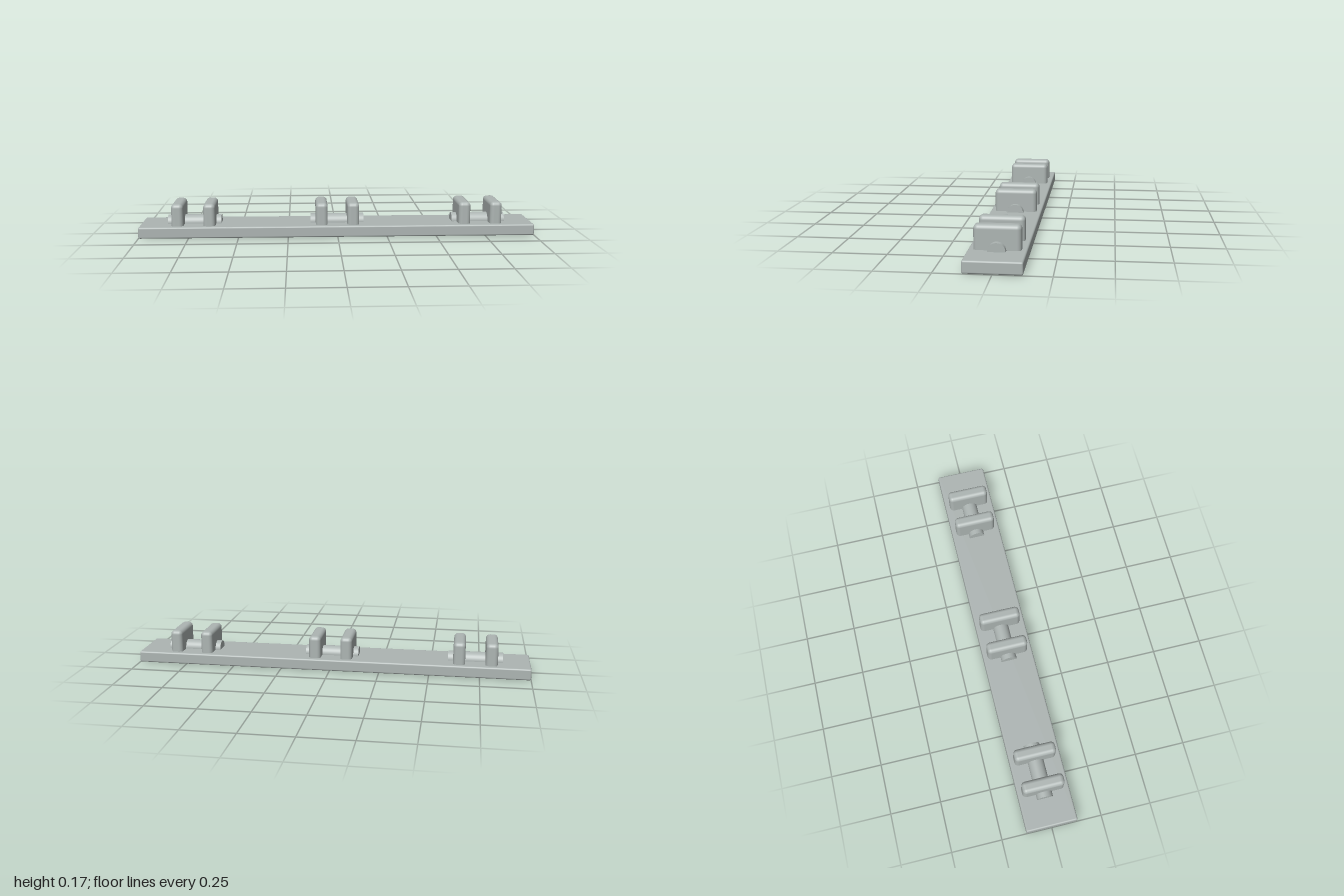
import * as THREE from 'three';
import { RoundedBoxGeometry } from 'three/addons/geometries/RoundedBoxGeometry.js';

export function createModel() {
  const model = new THREE.Group();
  model.name = 'hookRail';
  const grey = new THREE.MeshStandardMaterial({ color: 0xadb5b3 });
  grey.name = 'paleGrey';

  const add = (parent, name, geometry, x, y) => {
    const mesh = new THREE.Mesh(geometry, grey);
    mesh.name = name;
    mesh.position.set(x, y, 0);
    parent.add(mesh);
    return mesh;
  };

  // Long base board with softly rounded edges
  const top = 0.057;
  add(model, 'baseBoard', new RoundedBoxGeometry(2, top, 0.256, 3, 0.008), 0, top / 2);

  // Upright cheeks run down into the board
  const low = 0.015, high = 0.168;
  const cheek = new RoundedBoxGeometry(0.06, high - low, 0.208, 4, 0.02);

  // Round pin lying half sunk in the board
  const pin = new THREE.CylinderGeometry(0.04, 0.04, 0.272, 40);
  pin.rotateZ(Math.PI / 2);

  // Three brackets, each with two cheeks and a pin through both
  for (const x of [-0.727, 0, 0.727]) {
    const bracket = new THREE.Group();
    bracket.name = 'bracket';
    bracket.position.x = x;
    for (const side of [-1, 1]) {
      add(bracket, side > 0 ? 'leftCheek' : 'rightCheek', cheek, side * 0.08, (low + high) / 2);
    }
    add(bracket, 'pin', pin, 0, top);
    model.add(bracket);
  }
  return model;
}
